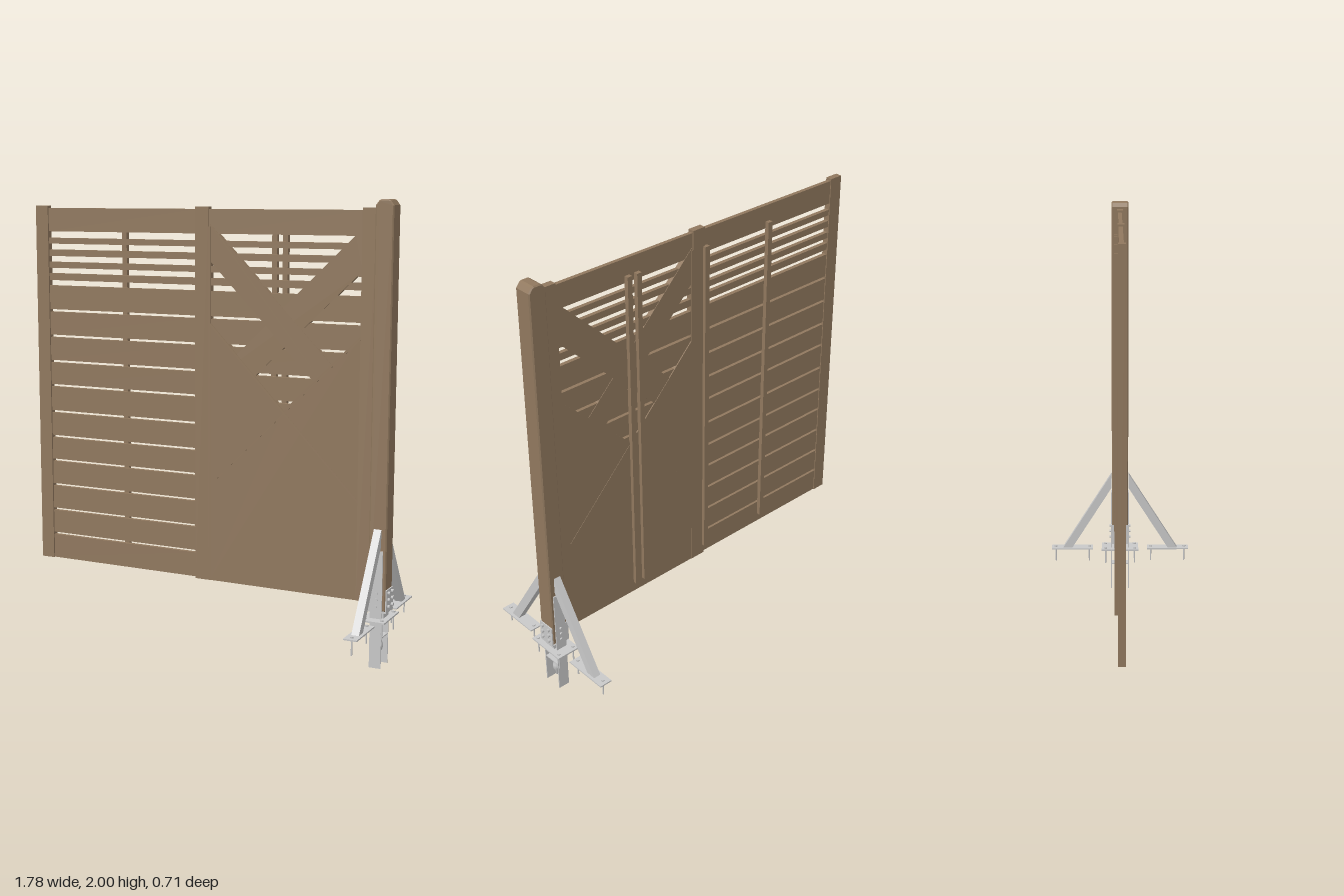
import * as THREE from 'three';

export function createModel() {
  const root = new THREE.Group();
  root.name = 'gatePanelWithPost';
  const wood = new THREE.MeshStandardMaterial({ color: 0x90785e });
  wood.name = 'brown wood';
  const steel = new THREE.MeshStandardMaterial({ color: 0xc8c8c8 });
  steel.name = 'galvanised steel';

  const add = (name, geo, mat, parent = root) => {
    const m = new THREE.Mesh(geo, mat);
    m.name = name;
    parent.add(m);
    return m;
  };
  // box given by its limits on each axis
  const block = (name, x0, x1, y0, y1, z0, z1, mat = wood, parent = root) => {
    const m = add(name, new THREE.BoxGeometry(x1 - x0, y1 - y0, z1 - z0), mat, parent);
    m.position.set((x0 + x1) / 2, (y0 + y1) / 2, (z0 + z1) / 2);
    return m;
  };
  // flat outline in xy, extruded from z0 to z1
  const plate = (name, pts, z0, z1, mat = wood, bevel = 0) => {
    const shape = new THREE.Shape(pts.map(p => new THREE.Vector2(p[0], p[1])));
    const geo = new THREE.ExtrudeGeometry(shape, {
      depth: z1 - z0 - 2 * bevel, bevelEnabled: bevel > 0, bevelSize: bevel,
      bevelThickness: bevel, bevelOffset: -bevel, bevelSegments: 1,
    });
    geo.translate(0, 0, z0 + bevel);
    return add(name, geo, mat);
  };

  // upright stiles of both panels
  block('outerStile', -0.89, -0.825, 0.285, 1.965, -0.015, 0.015);
  block('middleStile', -0.055, 0.01, 0.28, 1.965, -0.015, 0.015);
  block('middleStileEdge', 0.01, 0.02, 0.28, 1.88, -0.015, 0.013);
  block('hingeStile', 0.725, 0.792, 0.28, 1.965, -0.015, 0.015);

  // horizontal boards: top rail, narrow slats, then wide boards with slim gaps
  const slats = [[1.848, 1.955], [1.791, 1.818], [1.734, 1.764], [1.679, 1.707], [1.622, 1.654]];
  const gaps = [1.6, 1.48, 1.36, 1.24, 1.125, 1.0, 0.88, 0.765, 0.645, 0.525, 0.405, 0.28];
  for (let i = 0; i < gaps.length - 1; i++) {
    slats.push([gaps[i + 1] + 0.006, gaps[i] - (i ? 0.006 : 0.003)]);
  }
  slats.forEach(([y0, y1]) => {
    block('leftBoard', -0.83, -0.05, y0, y1, -0.011, 0.008);
    block('rightBoard', 0.0, 0.73, y0, y1, -0.01, 0.008);
  });

  // crossed diagonal boards of the right panel
  plate('diagonalBraceFalling', [[0.015, 1.73], [0.015, 1.89], [0.055, 1.85], [0.725, 1.17], [0.725, 1.01]], -0.012, 0.0105);
  plate('diagonalBraceRising', [[0.725, 1.7], [0.725, 1.88], [0.695, 1.85], [0.015, 1.195], [0.015, 1.02]], -0.0125, 0.01);
  // solid lower infill with a notched top
  plate('lowerInfill', [[0.015, 0.28], [0.725, 0.28], [0.725, 1.43], [0.37, 1.085], [0.015, 1.46]], -0.013, 0.012);
  plate('fallingSeam', [[0.015, 1.46], [0.015, 1.448], [0.725, 0.71], [0.725, 0.722]], -0.0145, 0.0135);
  plate('risingSeam', [[0.015, 0.72], [0.725, 1.415], [0.725, 1.422], [0.015, 0.727]], -0.014, 0.013);

  // battens on the back
  [-0.43, -0.058, 0.317, 0.367].forEach(x =>
    block('backBatten', x - 0.012, x + 0.012, 0.33, 1.88, -0.03, -0.01));

  // gate post with chamfered top
  plate('gatePost', [[0.79, 0.255], [0.87, 0.255], [0.87, 1.975], [0.855, 1.995], [0.845, 2.0],
    [0.815, 2.0], [0.805, 1.995], [0.79, 1.975]], -0.042, 0.042, wood, 0.005);

  // steel ground anchor
  const px = 0.83;
  const anchor = new THREE.Group();
  anchor.name = 'groundAnchor';
  root.add(anchor);
  const sblock = (name, ...d) => block(name, ...d, steel, anchor);
  const bolt = (x, y0, y1, z) => {
    const shank = add('anchorBolt', new THREE.CylinderGeometry(0.0035, 0.0035, y1 - y0, 8), steel, anchor);
    shank.position.set(x, (y0 + y1) / 2, z);
    const head = add('boltHead', new THREE.CylinderGeometry(0.008, 0.008, 0.006, 6), steel, anchor);
    head.position.set(x, y1, z);
  };
  sblock('basePlate', 0.772, 0.886, 0.215, 0.222, -0.095, 0.095);
  sblock('shoeFloor', 0.787, 0.875, 0.248, 0.255, -0.044, 0.044);
  sblock('shoeStem', 0.8, 0.86, 0.222, 0.248, -0.03, 0.03);
  [0.786, 0.87].forEach(x => sblock('shoeSide', x, x + 0.005, 0.25, 0.35, -0.042, 0.042));

  for (const s of [-1, 1]) {
    // long leg strap running from the ground up the post face
    sblock('legStrap', 0.803, 0.856, 0, 0.52, s * 0.0445 - 0.0025, s * 0.0445 + 0.0025);
    sblock('shoeFace', 0.787, 0.856, 0.25, 0.35, s * 0.044 - 0.002, s * 0.044 + 0.002);
    // foot plate
    sblock('footPlate', 0.8, 0.86, 0.214, 0.22, s * 0.248 - 0.107, s * 0.248 + 0.107);
    // sloping strut, cut flat at foot and post
    const strut = new THREE.Shape([[0.295, 0.22], [0.045, 0.615], [0.045, 0.54], [0.248, 0.22]]
      .map(p => new THREE.Vector2(p[0] * s, p[1])));
    const geo = new THREE.ExtrudeGeometry(strut, { depth: 0.034, bevelEnabled: false });
    geo.rotateY(-Math.PI / 2);
    geo.translate(px + 0.017, 0, 0);
    add('sideStrut', geo, steel, anchor);
    // bolts through feet and base plate
    [0.16, 0.333].forEach(z => bolt(px, 0.145, 0.224, s * z));
    [0.79, 0.868].forEach(x => bolt(x, 0.145, 0.226, s * 0.075));
    // screws on the shoe
    [0.275, 0.305, 0.335].forEach(y => {
      const side = add('sideScrew', new THREE.CylinderGeometry(0.008, 0.008, 0.012, 6), steel, anchor);
      side.rotation.z = Math.PI / 2;
      side.position.set(0.879, y, s * 0.022);
      const face = add('faceScrew', new THREE.CylinderGeometry(0.007, 0.007, 0.008, 6), steel, anchor);
      face.rotation.x = Math.PI / 2;
      face.position.set(px, y, s * 0.05);
    });
  }
  // cross plate and hanging spindle between the legs
  sblock('crossPlate', 0.805, 0.855, 0.132, 0.137, -0.044, 0.044);
  const spindle = [[0, 0.035], [0.006, 0.04], [0.008, 0.06], [0.018, 0.08], [0.018, 0.1], [0.006, 0.125], [0.006, 0.216]];
  const drop = add('spindle', new THREE.LatheGeometry(spindle.map(p => new THREE.Vector2(p[0], p[1])), 12), steel, anchor);
  drop.position.x = px;

  return root;
}
